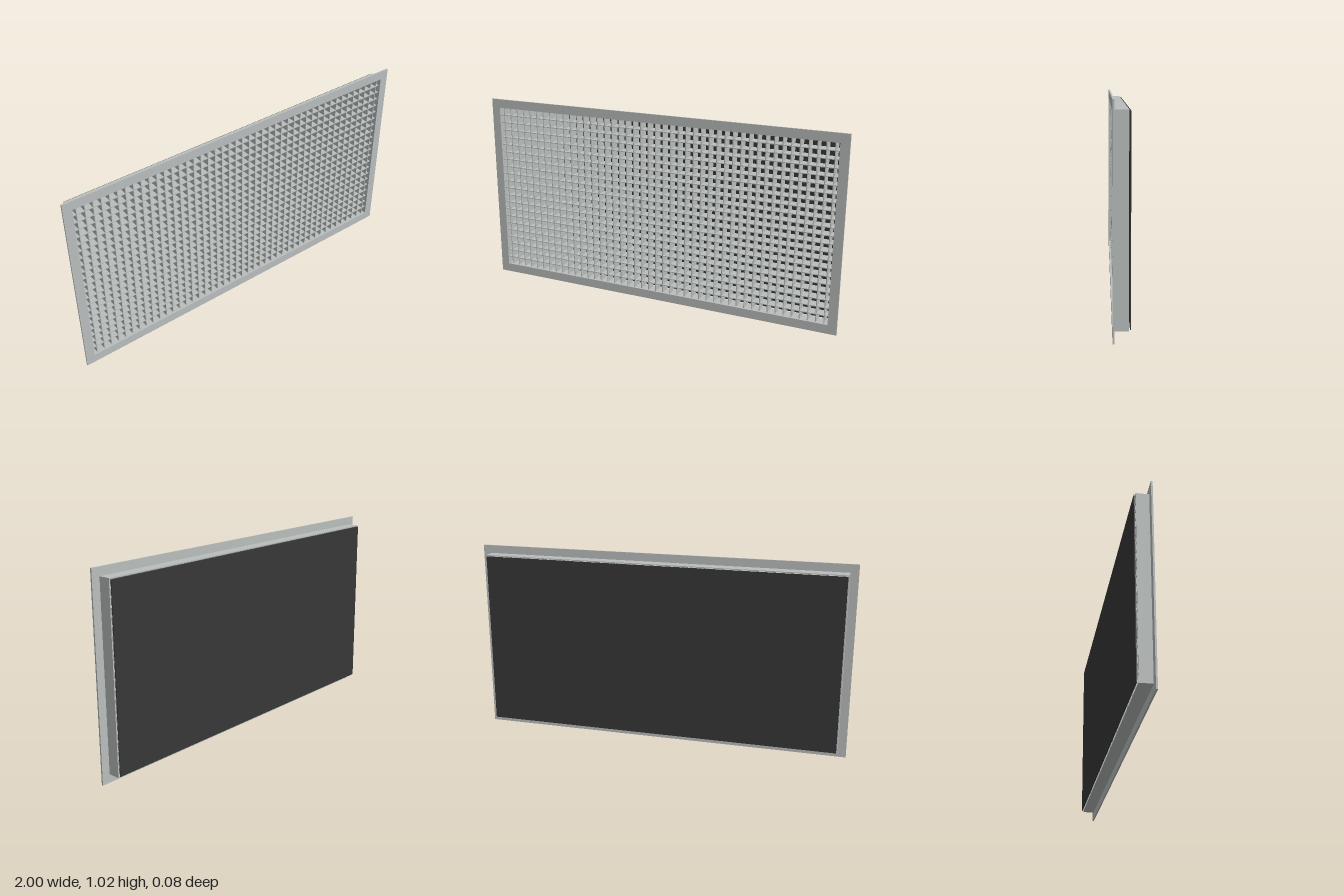
import * as THREE from 'three';

const W = 2, H = 1.025, CY = H / 2;      // outer flange
const BW = 1.915, BH = 0.94;             // sleeve outside
const WALL = 0.005, PITCH = 0.0423, BLADE = 0.004;
const BACK = -0.03, FRONT = 0.032;       // sleeve depth range

// Rectangular ring extruded from z0 to z1
function ring(w, h, iw, ih, z0, z1) {
  const rect = (P, a, b) => {
    const p = new P();
    p.moveTo(-a / 2, -b / 2);
    p.lineTo(a / 2, -b / 2);
    p.lineTo(a / 2, b / 2);
    p.lineTo(-a / 2, b / 2);
    p.closePath();
    return p;
  };
  const shape = rect(THREE.Shape, w, h);
  shape.holes.push(rect(THREE.Path, iw, ih));
  return new THREE.ExtrudeGeometry(shape, { depth: z1 - z0, bevelEnabled: false })
    .translate(0, CY, z0);
}

export function createModel() {
  const metal = new THREE.MeshStandardMaterial({ name: 'paleGreyMetal', color: 0xb9bebd });
  const dark = new THREE.MeshStandardMaterial({ name: 'charcoal', color: 0x373737 });
  const model = new THREE.Group();
  model.name = 'eggCrateGrille';

  const add = (name, geometry, material, parent = model) => {
    const mesh = new THREE.Mesh(geometry, material);
    mesh.name = name;
    parent.add(mesh);
    return mesh;
  };

  // Flat front flange and the thin sleeve behind it
  const iw = BW - 2 * WALL, ih = BH - 2 * WALL;
  add('flange', ring(W, H, iw, ih, FRONT, 0.04), metal);
  add('sleeve', ring(BW, BH, iw, ih, BACK, FRONT), metal);

  // Crossing blades of the core
  const core = new THREE.Group();
  core.name = 'gridCore';
  model.add(core);
  const depth = 0.06, midZ = 0;
  const upright = new THREE.BoxGeometry(BLADE, ih, depth);
  const level = new THREE.BoxGeometry(iw, BLADE, depth);
  for (let i = -22; i <= 22; i++) {
    add('verticalBlade', upright, metal, core).position.set(i * PITCH, CY, midZ);
  }
  for (let j = -10; j <= 10; j++) {
    add('horizontalBlade', level, metal, core).position.set(0, CY + j * PITCH, midZ);
  }

  // Dark backing sheet, set just clear of the sleeve
  add('backingSheet', new THREE.BoxGeometry(1.905, 0.928, 0.004), dark)
    .position.set(0, CY, -0.037);

  return model;
}
